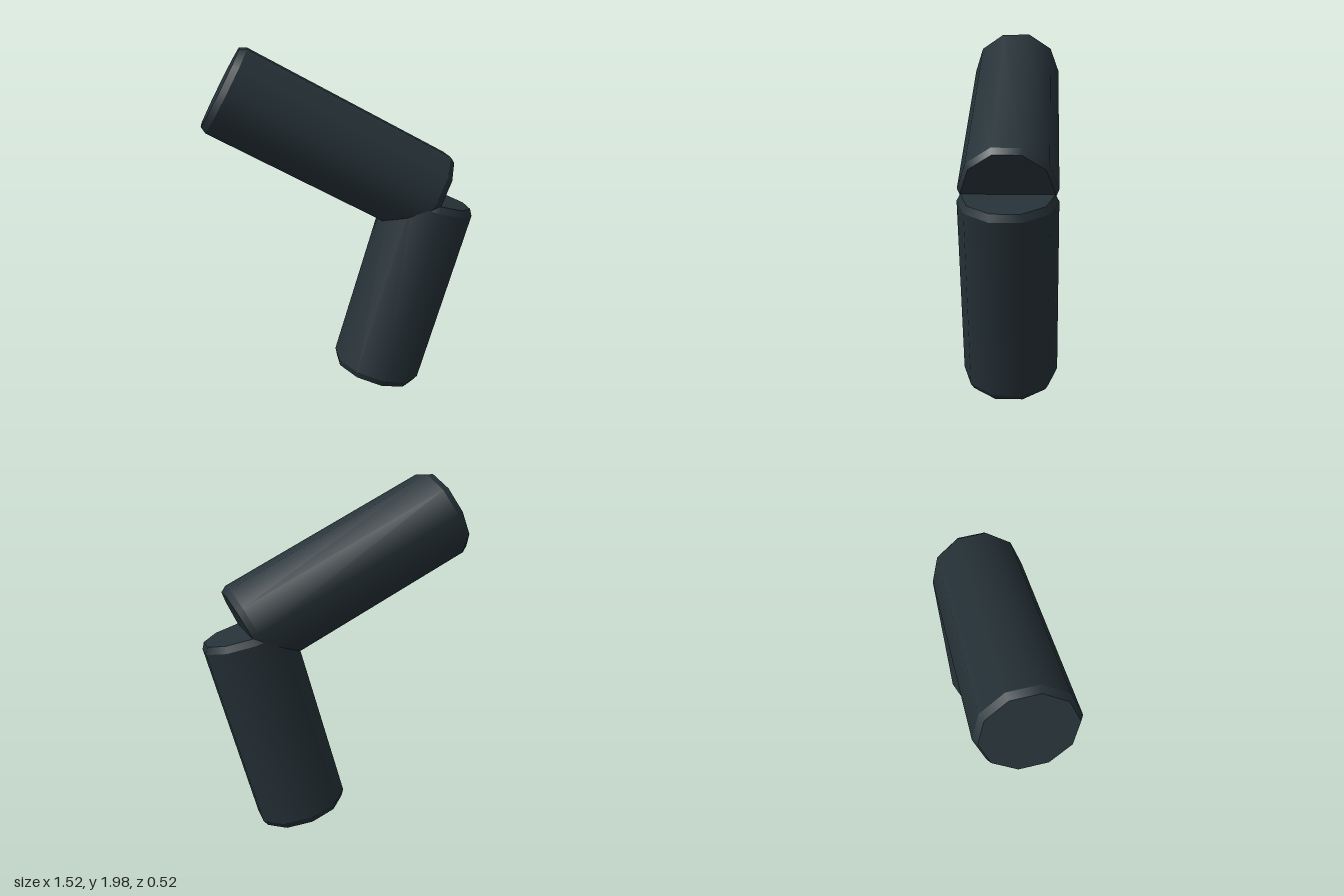
import * as THREE from 'three';
import { mergeGeometries } from 'three/addons/utils/BufferGeometryUtils.js';

const SIDES = 10;
const RADIUS = 0.262;
const BEVEL_RADIAL = 0.02;
const BEVEL_AXIAL = 0.037;

// Ten-sided rod with bevelled ends; each profile segment is lathed separately
// so the sides shade smoothly round while the rims stay sharp.
function bevelledRod(length) {
  const h = length / 2;
  const inner = RADIUS - BEVEL_RADIAL;
  const profile = [
    [0, -h], [inner, -h], [RADIUS, -h + BEVEL_AXIAL],
    [RADIUS, h - BEVEL_AXIAL], [inner, h], [0, h],
  ].map(([r, y]) => new THREE.Vector2(r, y));
  const bands = [];
  for (let i = 0; i < profile.length - 1; i++) {
    bands.push(new THREE.LatheGeometry([profile[i], profile[i + 1]], SIDES));
  }
  return mergeGeometries(bands);
}

export function createModel() {
  const group = new THREE.Group();
  group.name = 'bentLimb';
  const slate = new THREE.MeshStandardMaterial({ color: 0x263238 });
  slate.name = 'dark slate';

  function addSegment(name, length, x, y, tilt) {
    const mesh = new THREE.Mesh(bevelledRod(length), slate);
    mesh.name = name;
    mesh.position.set(x, y, 0);
    mesh.rotation.z = tilt;
    group.add(mesh);
  }

  // Upper segment slopes down to the left, lower segment hangs from its end
  addSegment('upperSegment', 1.345, -0.066, 1.471, 1.076);
  addSegment('lowerSegment', 1.115, 0.363, 0.61, -0.286);
  return group;
}
